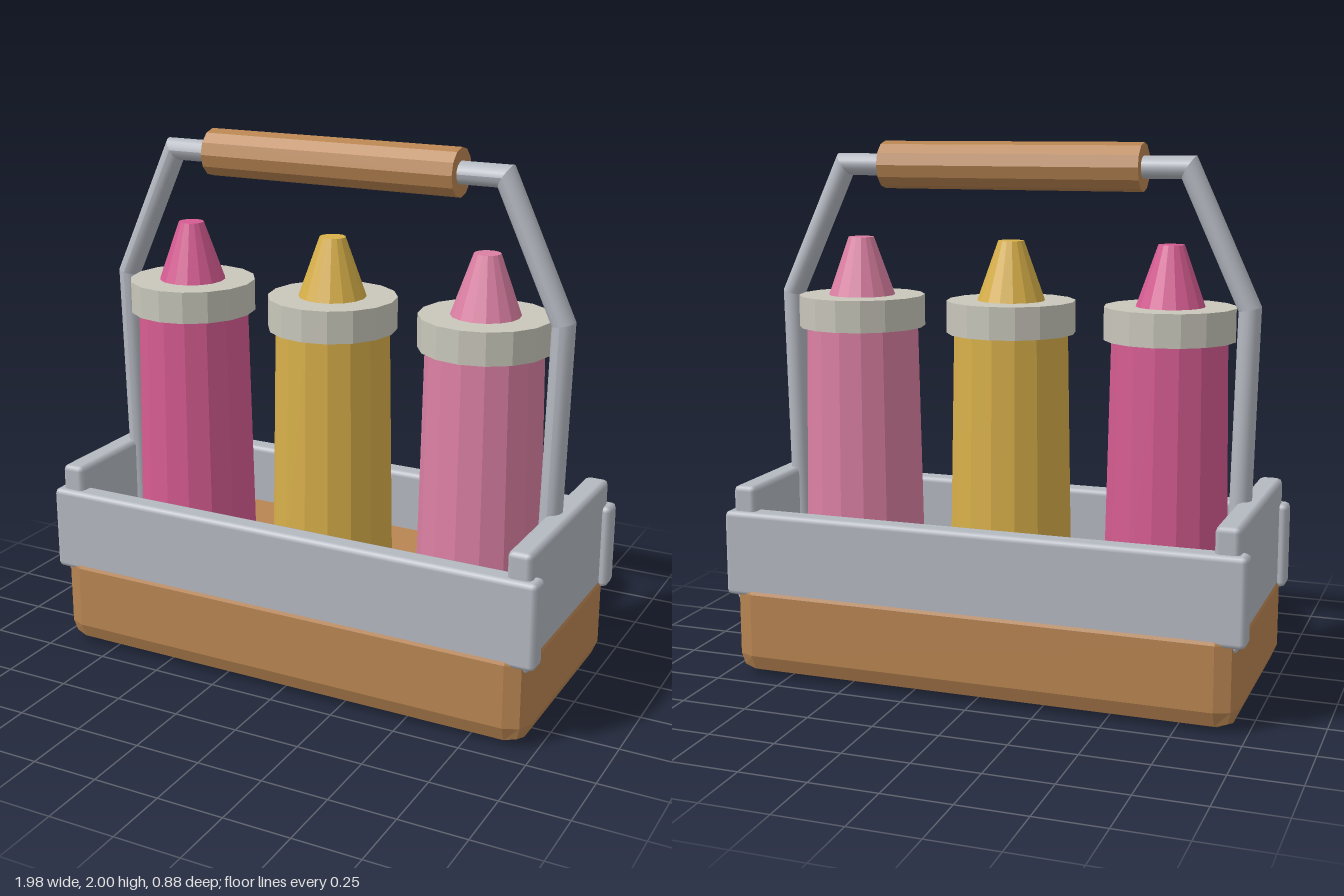
import * as THREE from 'three';
import { RoundedBoxGeometry } from 'three/addons/geometries/RoundedBoxGeometry.js';

export function createModel() {
  const root = new THREE.Group();
  root.name = 'bottleCaddy';

  const material = (name, color, flatShading = true) => {
    const m = new THREE.MeshStandardMaterial({ color, flatShading });
    m.name = name;
    return m;
  };
  const wood = material('wood', 0xb98552);
  const metal = material('greyMetal', 0xb4b8c0, false);
  const capColor = material('paleCap', 0xc9c7bb);
  const magenta = material('magenta', 0xd65c92);
  const yellow = material('yellow', 0xd8b04a);
  const pink = material('pink', 0xdc80a3);

  const add = (parent, name, geometry, mat, x = 0, y = 0, z = 0) => {
    const mesh = new THREE.Mesh(geometry, mat);
    mesh.name = name;
    mesh.position.set(x, y, z);
    parent.add(mesh);
    return mesh;
  };

  // Wooden tray with bevelled edges
  add(root, 'tray', new RoundedBoxGeometry(1.93, 0.4, 0.88, 1, 0.08), wood, 0, 0.2, 0);

  // Long rails and taller end panels
  for (const s of [1, -1]) {
    add(root, s > 0 ? 'frontRail' : 'backRail',
      new RoundedBoxGeometry(1.98, 0.325, 0.09, 1, 0.02), metal, 0, 0.4725, s * 0.39);
    add(root, s > 0 ? 'leftEndPanel' : 'rightEndPanel',
      new RoundedBoxGeometry(0.09, 0.445, 0.825, 1, 0.02), metal, s * 0.915, 0.5075, 0);
  }

  // Three bottles: tapered body, cap ring and cone nozzle
  const cylinder = (top, bottom, y0, y1) =>
    new THREE.CylinderGeometry(top, bottom, y1 - y0, 16).translate(0, (y0 + y1) / 2, 0);
  [['rightBottle', -0.605, magenta], ['middleBottle', 0, yellow], ['leftBottle', 0.605, pink]]
    .forEach(([name, x, mat]) => {
      const bottle = new THREE.Group();
      bottle.name = name;
      bottle.position.x = x;
      add(bottle, 'body', cylinder(0.212, 0.23, 0.38, 1.31), mat);
      add(bottle, 'cap', cylinder(0.24, 0.24, 1.3, 1.42), capColor);
      add(bottle, 'nozzle', cylinder(0.048, 0.126, 1.42, 1.64), mat);
      root.add(bottle);
    });

  // Bent handle bar: straight tubes with mitred joints
  const half = [[0.87, 0.39], [0.893, 1.42], [0.665, 1.912]];
  const path = [...half, ...half.map(([x, y]) => [-x, y]).reverse()]
    .map(([x, y]) => new THREE.Vector2(x, y));
  const sideOf = (i) => {
    const d = path[i + 1].clone().sub(path[i]).normalize();
    return new THREE.Vector2(d.y, -d.x);
  };
  const miters = path.map((_, i) => {
    const a = sideOf(Math.max(i - 1, 0));
    const b = sideOf(Math.min(i, path.length - 2));
    const m = a.clone().add(b).normalize();
    return m.divideScalar(m.dot(a));
  });
  const handle = new THREE.Group();
  handle.name = 'handle';
  root.add(handle);
  for (let i = 0; i < path.length - 1; i++) {
    const tube = new THREE.CylinderGeometry(0.041, 0.041, 1, 16, 1, true);
    const pos = tube.attributes.position;
    for (let k = 0; k < pos.count; k++) {
      const j = pos.getY(k) > 0 ? i + 1 : i;
      const across = pos.getX(k);
      pos.setXYZ(k, path[j].x + miters[j].x * across,
        path[j].y + miters[j].y * across, pos.getZ(k) * 1.15);
    }
    tube.computeVertexNormals();
    add(handle, 'handleBar', tube, metal);
  }

  // Wooden grip
  add(handle, 'grip', new THREE.CylinderGeometry(0.088, 0.088, 1, 12).rotateZ(Math.PI / 2),
    wood, 0, 1.912, 0);

  return root;
}
